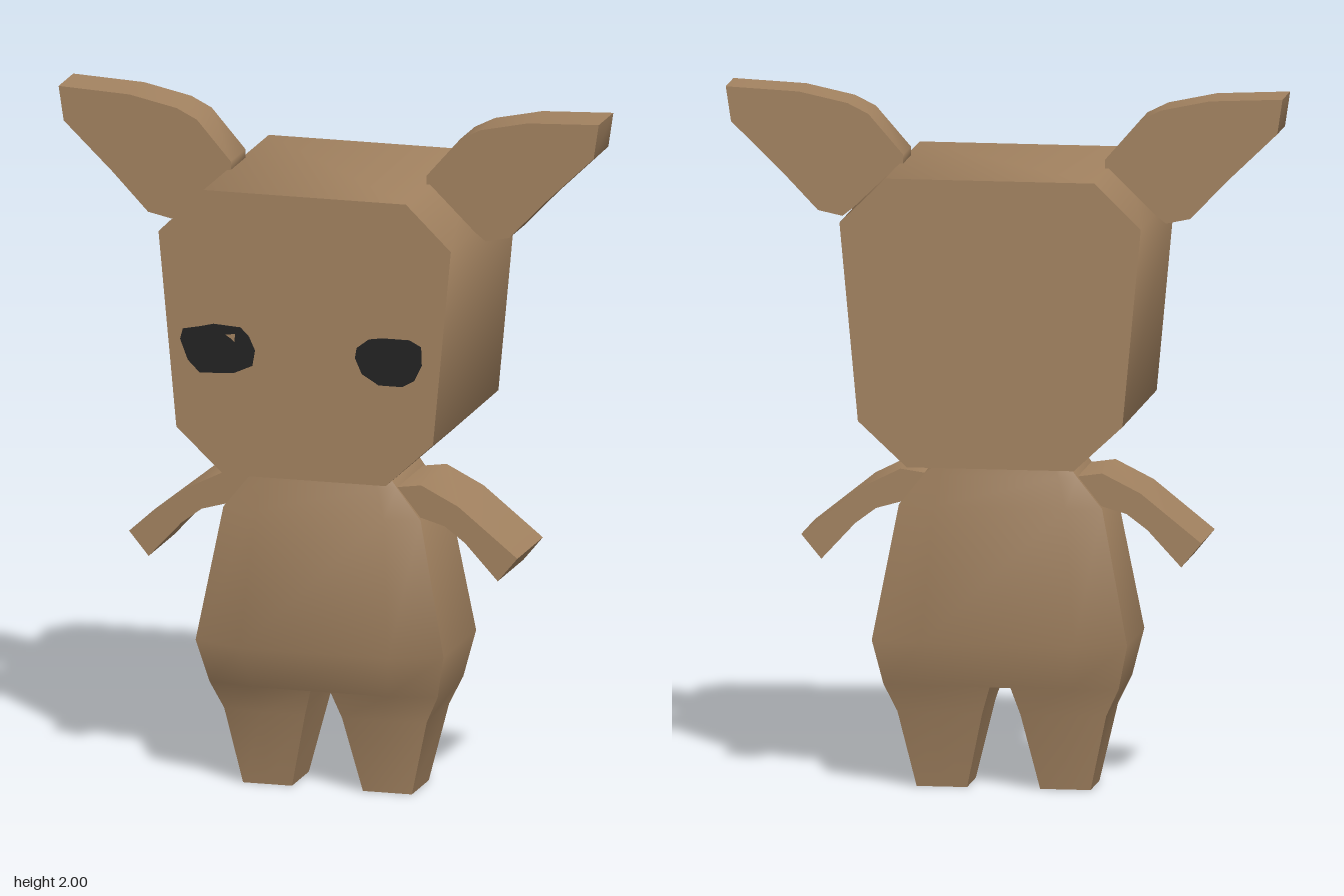
import * as THREE from 'three';
import { mergeGeometries, toCreasedNormals } from 'three/addons/utils/BufferGeometryUtils.js';

const brown = new THREE.MeshStandardMaterial({ color: 0xa28260 });
brown.name = 'brown';
const black = new THREE.MeshStandardMaterial({ color: 0x222222 });
black.name = 'black';

const mirror = (pts) => pts.map(([x, y]) => [-x, y]);
const toVectors = (pts) => pts.map(([x, y]) => new THREE.Vector2(x, y));

// Flat outline in x/y given thickness from z0 to z1
function slab(name, pts, z0, z1, material, hole) {
  const shape = new THREE.Shape(toVectors(pts));
  if (hole) shape.holes.push(new THREE.Path(toVectors(hole)));
  const g = new THREE.ExtrudeGeometry(shape, { depth: z1 - z0, bevelEnabled: false });
  g.translate(0, 0, z0);
  const mesh = new THREE.Mesh(toCreasedNormals(g, 1.0), material);
  mesh.name = name;
  return mesh;
}

// Skin between rings of [x, y, z] points, listed from bottom to top,
// each running counter-clockwise as seen from below
function loft(rings, capBottom, capTop) {
  const n = rings[0].length;
  const index = [];
  for (let r = 0; r < rings.length - 1; r++) {
    for (let i = 0; i < n; i++) {
      const j = (i + 1) % n;
      const a = r * n + i, b = r * n + j, c = a + n, d = b + n;
      index.push(a, c, b, b, c, d);
    }
  }
  const top = (rings.length - 1) * n;
  for (let i = 1; i < n - 1; i++) {
    if (capBottom) index.push(0, i, i + 1);
    if (capTop) index.push(top, top + i + 1, top + i);
  }
  const g = new THREE.BufferGeometry();
  g.setAttribute('position', new THREE.Float32BufferAttribute(rings.flat(2), 3));
  g.setIndex(index);
  return g.toNonIndexed();
}

// Body cross-section: half width w, flat middle m, depths at the sides and the middle
function bodyRing([y, w, m, sideFront, midFront, sideBack, midBack]) {
  return [
    [w, y, sideBack], [w, y, sideFront], [m, y, midFront], [-m, y, midFront],
    [-w, y, sideFront], [-w, y, sideBack], [-m, y, midBack], [m, y, midBack],
  ];
}

// Leg cross-section between inner and outer x; s is the side
function legRing([y, outer, m, inner, sideFront, midFront, sideBack, midBack], s) {
  const ring = [
    [s * outer, y, sideBack], [s * outer, y, sideFront], [s * m, y, midFront],
    [s * inner, y, midFront], [s * inner, y, midBack], [s * m, y, midBack],
  ];
  return s > 0 ? ring : ring.reverse();
}

function createBody() {
  const torso = loft([
    [0.3, 0.338, 0.2, 0.14, 0.17, -0.12, -0.14],
    [0.43, 0.367, 0.22, 0.18, 0.24, -0.15, -0.187],
    [0.82, 0.292, 0.19, 0.155, 0.18, -0.13, -0.155],
    [0.91, 0.22, 0.17, 0.15, 0.172, -0.13, -0.152],
    [0.965, 0.18, 0.15, 0.15, 0.168, -0.13, -0.15],
  ].map(bodyRing), false, true);
  const legs = [1, -1].map((s) => loft([
    [0, 0.25, 0.18, 0.105, 0.1, 0.1, -0.07, -0.07],
    [0.22, 0.3, 0.18, 0.055, 0.12, 0.14, -0.105, -0.115],
    [0.3, 0.338, 0.2, 0.03, 0.14, 0.17, -0.12, -0.14],
  ].map((r) => legRing(r, s)), true, false));
  // Underside strip between the legs
  const crotch = new THREE.BufferGeometry();
  crotch.setAttribute('position', new THREE.Float32BufferAttribute([
    0.03, 0.3, -0.14, 0.03, 0.3, 0.17, -0.03, 0.3, 0.17,
    0.03, 0.3, -0.14, -0.03, 0.3, 0.17, -0.03, 0.3, -0.14,
  ], 3));
  const mesh = new THREE.Mesh(toCreasedNormals(mergeGeometries([torso, ...legs, crotch]), 0.95), brown);
  mesh.name = 'bodyAndLegs';
  return mesh;
}

export function createModel() {
  const model = new THREE.Group();
  model.name = 'bigEaredAnimal';

  // Head
  const headHalf = [[0.24, 0.96], [0.38, 1.09], [0.433, 1.66], [0.3, 1.79]];
  model.add(slab('head', [...headHalf, ...mirror(headHalf).reverse()], -0.33, 0.33, brown));

  // Ears and arms
  const ear = [[0.8, 2], [0.59, 1.99], [0.45, 1.96], [0.39, 1.93], [0.29, 1.815], [0.29, 1.785],
    [0.42, 1.67], [0.465, 1.635], [0.535, 1.65], [0.64, 1.76], [0.785, 1.9]];
  const arm = [[0.15, 0.91], [0.22, 0.91], [0.29, 0.92], [0.4, 0.865], [0.575, 0.725], [0.517, 0.655],
    [0.42, 0.76], [0.36, 0.805], [0.29, 0.825], [0.15, 0.825]];
  model.add(slab('leftEar', ear, -0.06, 0.088, brown));
  model.add(slab('rightEar', mirror(ear), -0.06, 0.088, brown));
  model.add(slab('leftArm', arm, -0.115, 0.143, brown));
  model.add(slab('rightArm', mirror(arm), -0.115, 0.143, brown));

  model.add(createBody());

  // Eyes, slightly uneven
  const leftEye = [[0.15, 1.33], [0.155, 1.36], [0.19, 1.387], [0.23, 1.393], [0.31, 1.393], [0.345, 1.375],
    [0.347, 1.32], [0.325, 1.275], [0.29, 1.255], [0.22, 1.255], [0.17, 1.285]];
  const rightEye = [[-0.368, 1.35], [-0.36, 1.38], [-0.31, 1.39], [-0.27, 1.4], [-0.19, 1.395], [-0.165, 1.37],
    [-0.147, 1.33], [-0.155, 1.285], [-0.21, 1.26], [-0.31, 1.255], [-0.345, 1.29]];
  const glint = [[-0.235, 1.372], [-0.205, 1.375], [-0.207, 1.352], [-0.216, 1.36]];
  model.add(slab('leftEye', leftEye, 0.329, 0.334, black));
  model.add(slab('rightEye', rightEye, 0.329, 0.334, black, glint));

  return model;
}
